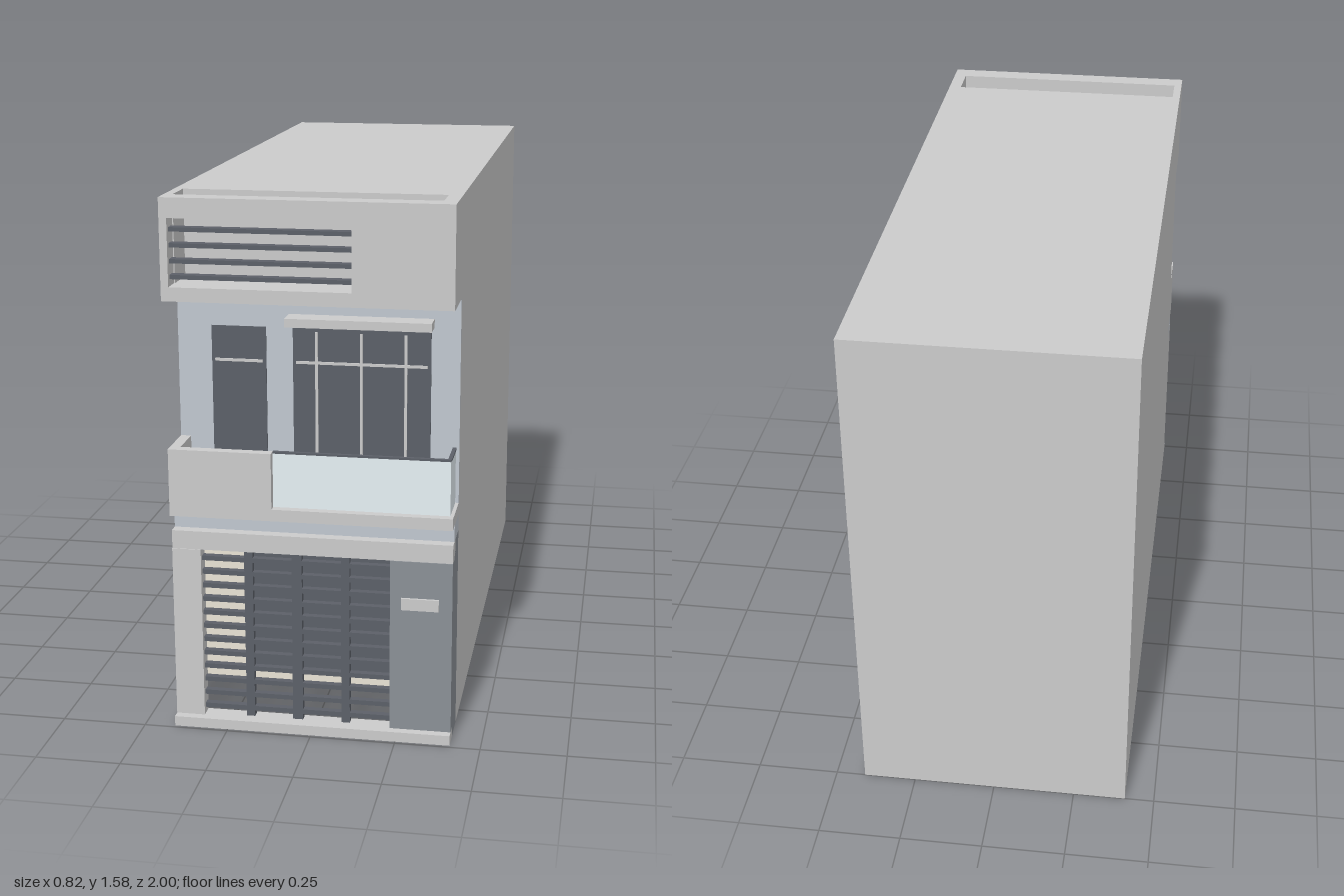
import * as THREE from 'three';

const mat = (color) => new THREE.MeshStandardMaterial({ color, side: THREE.DoubleSide });

export function createModel() {
  const house = new THREE.Group();
  house.name = 'townhouse';
  const grey = mat(0xcccccc), blue = mat(0xc1c8d0), dark = mat(0x5c6068), slate = mat(0x8b9096);
  const glass = mat(0xe6f0f4), beige = mat(0xeae4d5);

  // Box given by its extents
  function box(name, material, x0, x1, y0, y1, z0, z1, parent = house) {
    const mesh = new THREE.Mesh(new THREE.BoxGeometry(x1 - x0, y1 - y0, z1 - z0), material);
    mesh.position.set((x0 + x1) / 2, (y0 + y1) / 2, (z0 + z1) / 2);
    mesh.name = name;
    parent.add(mesh);
    return mesh;
  }
  function group(name) {
    const g = new THREE.Group();
    g.name = name;
    house.add(g);
    return g;
  }
  // Wall in the xy plane with one rectangular hole
  function wallWithHole(name, material, [x0, x1, y0, y1], [a0, a1, b0, b1], z0, z1) {
    const s = new THREE.Shape();
    s.moveTo(x0, y0).lineTo(x1, y0).lineTo(x1, y1).lineTo(x0, y1).closePath();
    const h = new THREE.Path();
    h.moveTo(a0, b0).lineTo(a0, b1).lineTo(a1, b1).lineTo(a1, b0).closePath();
    s.holes.push(h);
    const mesh = new THREE.Mesh(new THREE.ExtrudeGeometry(s, { depth: z1 - z0, bevelEnabled: false }), material);
    mesh.position.z = z0;
    mesh.name = name;
    house.add(mesh);
  }

  const W = 0.41;
  // Main body: upper block over a hollow ground floor that is open below
  box('upperBody', grey, -W, W, 0.63, 1.58, -1, 0.83);
  for (const s of [-1, 1]) {
    const side = new THREE.Mesh(new THREE.PlaneGeometry(1.83, 0.63), grey);
    side.rotation.y = s * Math.PI / 2;
    side.position.set(s * W, 0.315, -0.085);
    side.name = 'groundSideWall';
    house.add(side);
  }
  const back = new THREE.Mesh(new THREE.PlaneGeometry(2 * W, 0.63), grey);
  back.rotation.y = Math.PI;
  back.position.set(0, 0.315, -1);
  back.name = 'groundBackWall';
  house.add(back);

  // Carport: rear wall with a dark door, front wall, side walls and step
  box('carportRearWall', beige, -W + 0.002, W - 0.002, 0, 0.629, 0.51, 0.62);
  box('carportRearCladding', grey, -W + 0.002, W - 0.002, 0, 0.629, 0.5, 0.509);
  box('carportDoor', dark, -0.26, 0.25, 0.04, 0.56, 0.62, 0.628);
  box('carportPier', grey, -W, -0.325, 0.03, 0.55, 0.92, 0.965);
  box('carportSideWall', grey, -W, -0.38, 0, 0.605, 0.83, 0.92);
  box('pillarFront', slate, 0.23, W, 0.03, 0.55, 0.92, 0.965);
  box('pillarSide', slate, 0.38, W, 0, 0.605, 0.83, 0.92);
  box('letterPlate', grey, 0.263, 0.372, 0.405, 0.44, 0.965, 0.973);
  box('frontStep', grey, -W, W, 0, 0.03, 0.92, 0.99);
  box('lintel', grey, -W, W, 0.55, 0.605, 0.9, 0.962);
  box('bandCourse', blue, -W, W, 0.605, 0.655, 0.83, 0.93);

  // Gate: posts with short slats between them
  const gate = group('gate');
  const bays = [[-0.325, -0.2], [-0.175, -0.06], [-0.03, 0.085], [0.11, 0.23]];
  bays.forEach(([a, b], i) => {
    for (let r = 0; r < 12; r++) {
      const y = 0.055 + r * 0.0423;
      box('gateSlat', dark, a, b, y - 0.007, y + 0.007, 0.93, 0.95, gate);
    }
    if (i < 3) box('gatePost', dark, b, bays[i + 1][0], 0.03, 0.55, 0.93, 0.95, gate);
  });

  // Balcony: slab, solid parapet on one side, glass balustrade on the other
  box('balconySlab', grey, -W, W, 0.655, 0.69, 0.83, 0.98);
  box('parapetFront', grey, -W, -0.11, 0.69, 0.855, 0.95, 0.98);
  box('parapetSide', grey, -W, -0.38, 0.69, 0.855, 0.83, 0.95);
  box('balustradeFront', glass, -0.11, 0.4, 0.69, 0.85, 0.948, 0.955);
  box('balustradeSide', glass, 0.393, 0.4, 0.69, 0.85, 0.83, 0.948);
  box('frontRail', dark, -0.11, 0.4, 0.85, 0.856, 0.946, 0.957);
  box('sideRail', dark, 0.391, 0.402, 0.85, 0.856, 0.83, 0.946);

  // Upper facade with windows and canopy
  box('facade', blue, -W, W, 0.69, 1.29, 0.828, 0.834);
  const windows = group('windows');
  for (const [x0, x1, bars] of [[-0.31, -0.15, []], [-0.072, 0.327, [-0.003, 0.127, 0.255]]]) {
    box('windowPane', dark, x0, x1, 0.69, 1.19, 0.834, 0.837, windows);
    box('transom', grey, x0 + 0.01, x1 - 0.01, 1.086, 1.094, 0.837, 0.841, windows);
    for (const x of bars) box('mullion', grey, x - 0.004, x + 0.004, 0.69, 1.18, 0.837, 0.841, windows);
  }
  box('windowCanopy', grey, -0.083, 0.335, 1.205, 1.23, 0.83, 0.9);

  // Roof parapet: open trough with a louvred opening
  wallWithHole('roofParapetFront', grey, [-W, W, 1.29, 1.58], [-0.388, 0.127, 1.33, 1.523], 0.94, 1);
  box('roofParapetRight', grey, -W, -0.385, 1.29, 1.58, 0.83, 0.94);
  box('roofParapetLeft', grey, 0.37, W, 1.29, 1.58, 0.83, 0.94);
  box('troughFloor', grey, -0.385, 0.37, 1.29, 1.33, 0.83, 0.94);
  const louvres = group('louvres');
  for (let i = 0; i < 4; i++) {
    const y = 1.356 + i * 0.0445;
    box('louvre', dark, -0.388, 0.127, y - 0.006, y + 0.006, 0.955, 0.985, louvres);
  }

  // Small ceiling lamp below the parapet
  const lamp = new THREE.Mesh(new THREE.CylinderGeometry(0.015, 0.015, 0.006, 16), dark);
  lamp.position.set(-0.23, 1.288, 0.915);
  lamp.name = 'ceilingLamp';
  house.add(lamp);

  return house;
}
